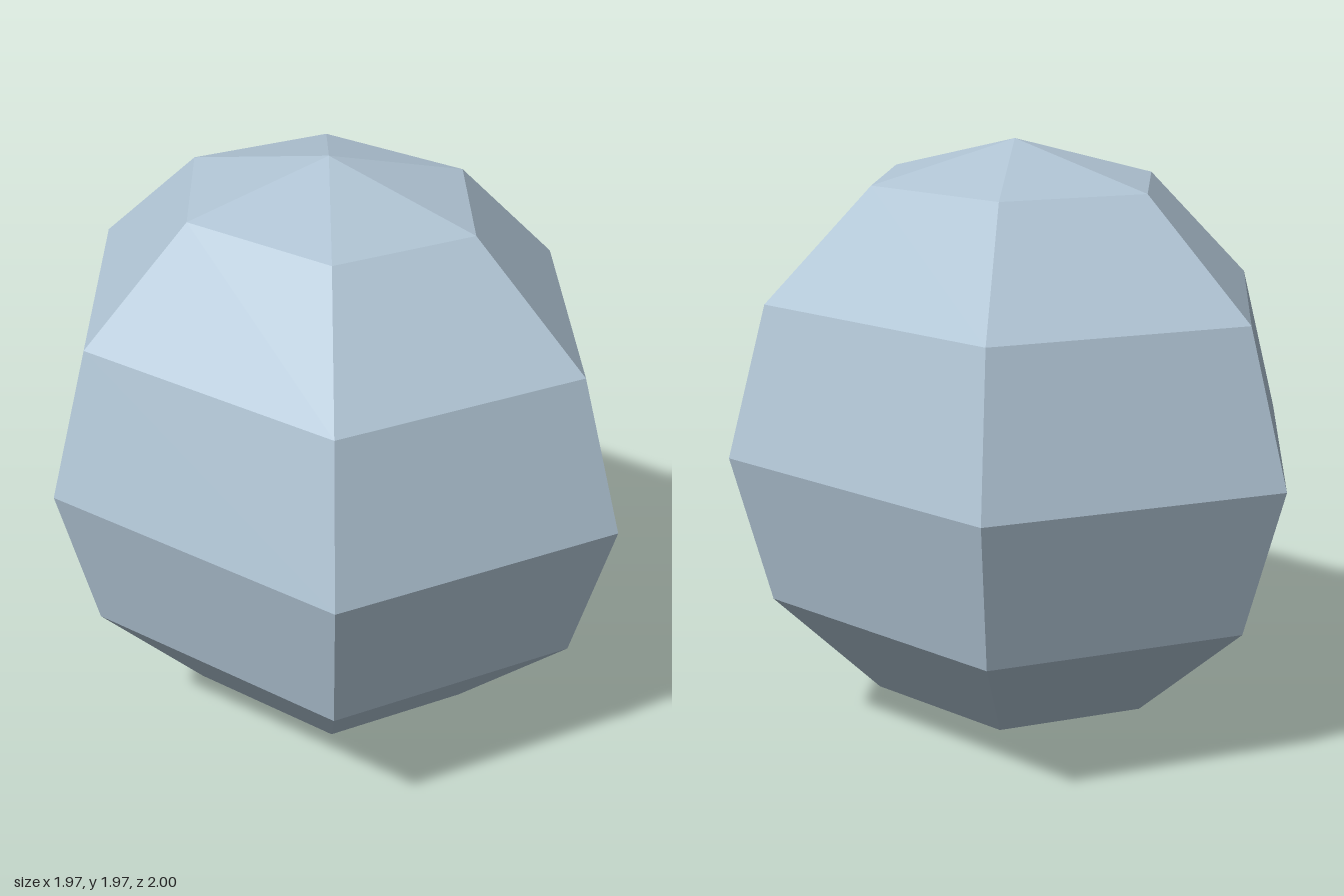
import * as THREE from 'three';

// Faceted boulder: a six-sided, six-band ball stretched so its flat sides reach z = ±1
export function createModel() {
  const radius = 0.985;
  const paleBlueGrey = new THREE.MeshStandardMaterial({ color: 0xb0c4d4, flatShading: true });
  paleBlueGrey.name = 'paleBlueGrey';

  // Hexagonal rings with corners on the x axis
  const ball = new THREE.SphereGeometry(radius, 6, 6);
  ball.scale(1, 1, 1 / (radius * Math.sin(Math.PI / 3)));
  ball.translate(0, radius, 0);

  // Separate the facets so every one is flat
  const facets = ball.toNonIndexed();
  facets.computeVertexNormals();

  const body = new THREE.Mesh(facets, paleBlueGrey);
  body.name = 'facetedBall';

  const model = new THREE.Group();
  model.name = 'facetedBallModel';
  model.add(body);
  return model;
}
